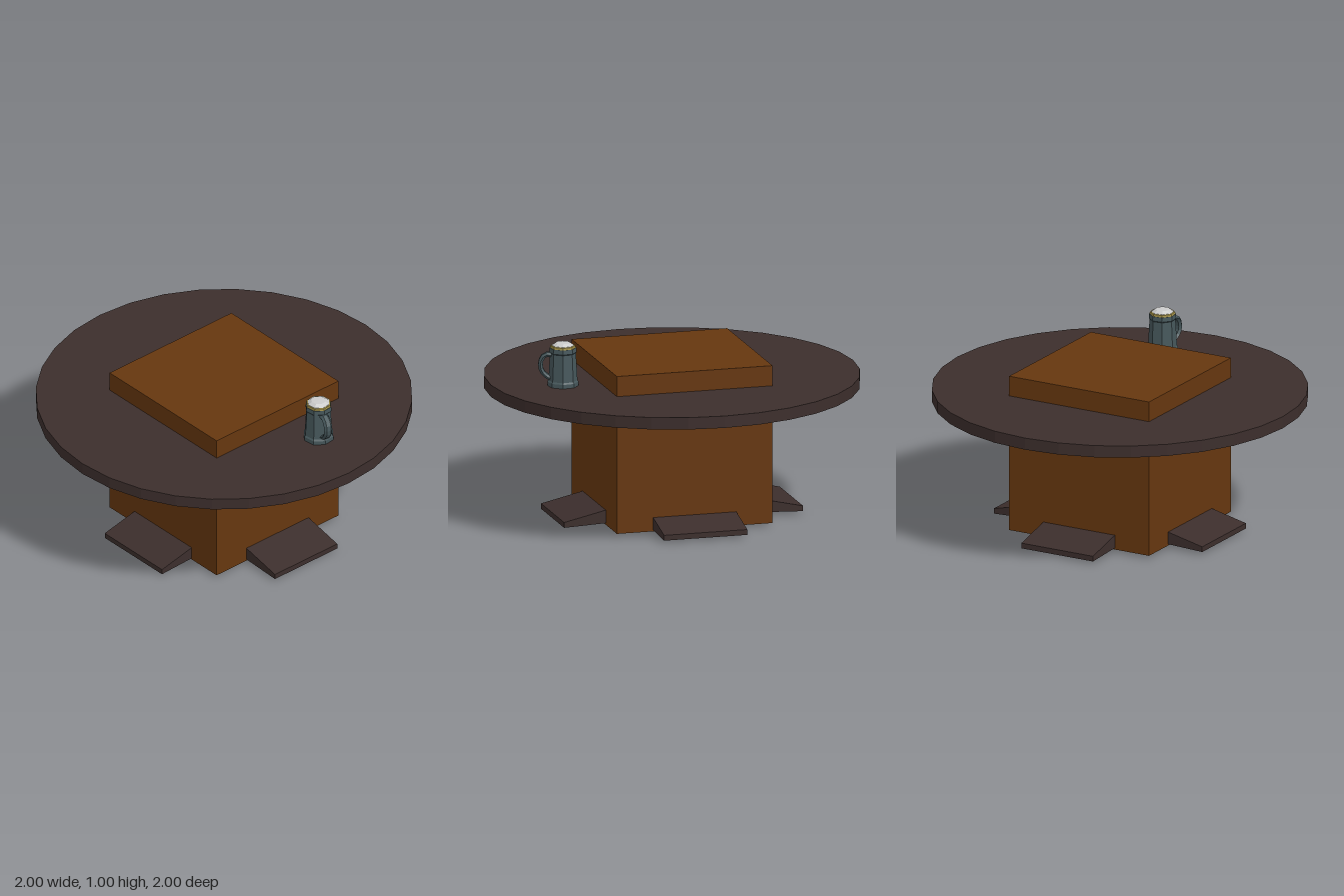
import * as THREE from 'three';

const mat = (color) => new THREE.MeshStandardMaterial({ color, flatShading: true });

export function createModel() {
  const root = new THREE.Group();
  const wood = mat(0x66370f);
  const darkWood = mat(0x3c2e2c);
  const pewter = mat(0x46575b);
  const foamMat = mat(0xcccccc);
  const gold = mat(0xa8954a);
  const iron = mat(0x262523);
  const green = mat(0x1b2a1e);
  const steel = mat(0x55595a);

  const add = (parent, name, geometry, material, x = 0, y = 0, z = 0) => {
    const m = new THREE.Mesh(geometry, material);
    m.name = name;
    m.position.set(x, y, z);
    parent.add(m);
    return m;
  };
  const lathe = (pts, sides) =>
    new THREE.LatheGeometry(pts.map(([r, y]) => new THREE.Vector2(r, y)), sides);

  // Square pedestal passing through the round top
  add(root, 'pedestal', new THREE.BoxGeometry(0.86, 0.86, 0.86), wood, 0, 0.445, 0);
  add(root, 'tableTop', new THREE.CylinderGeometry(1, 1, 0.065, 32), darkWood, 0, 0.7325, 0);

  // Shallow boss under the top, below the mug
  add(root, 'undersideBoss',
    lathe([[0, 0], [0.12, 0.001], [0.24, 0.006], [0.34, 0.016]], 24),
    mat(0x30200f), 0.65, 0.686, -0.05);

  // Wedge-shaped feet, one on each side
  const wedge = new THREE.Shape([
    [0.4, 0.025], [0.66, 0.014], [0.66, 0.043], [0.43, 0.095], [0.4, 0.095],
  ].map(([x, y]) => new THREE.Vector2(x, y)));
  for (let i = 0; i < 4; i++) {
    const side = i % 2 === 0;
    const width = side ? 0.44 : 0.46;
    const geo = new THREE.ExtrudeGeometry(wedge, { depth: width, bevelEnabled: false });
    geo.translate(side ? 0 : -0.02, 0, -width / 2);
    add(root, 'foot', geo, darkWood).rotation.y = i * Math.PI / 2;
  }

  // Base plate with a thin ring and eight alternating tabs
  add(root, 'basePlate', new THREE.CylinderGeometry(0.3, 0.3, 0.012, 24), iron, 0, 0.01, 0);
  const ring = add(root, 'baseRing', new THREE.TorusGeometry(0.297, 0.004, 4, 32), steel, 0, 0.005, 0);
  ring.rotation.x = Math.PI / 2;
  for (let i = 0; i < 8; i++) {
    const a = i * Math.PI / 4;
    const diagonal = i % 2 === 1;
    const tab = add(root, 'baseTab', new THREE.BoxGeometry(0.09, 0.012, 0.09),
      diagonal ? green : steel, Math.cos(a) * 0.28, 0.008, Math.sin(a) * 0.28);
    tab.rotation.y = -a + (diagonal ? Math.PI / 4 : 0);
  }

  // Faceted mug, turned so its handle points along +x and a little forward
  const mug = new THREE.Group();
  mug.name = 'mug';
  mug.position.set(0.635, 0.765, -0.11);
  mug.rotation.y = -0.28;
  root.add(mug);

  add(mug, 'mugBody', lathe([
    [0, 0], [0.083, 0], [0.083, 0.022], [0.077, 0.03], [0.073, 0.105],
    [0.069, 0.178], [0.073, 0.183], [0.071, 0.207], [0.06, 0.207], [0.058, 0.19], [0, 0.19],
  ], 8), pewter);
  add(mug, 'mugRim', lathe([[0.055, 0.2], [0.069, 0.205], [0.067, 0.218], [0.05, 0.222]], 8), gold);
  add(mug, 'foam', lathe([[0.062, 0.205], [0.06, 0.221], [0.04, 0.234], [0, 0.236]], 8), foamMat);

  // Curved handle
  const path = new THREE.CatmullRomCurve3([
    [0.06, 0.17], [0.095, 0.168], [0.117, 0.135], [0.116, 0.09], [0.095, 0.06], [0.067, 0.042],
  ].map(([x, y]) => new THREE.Vector3(x, y, 0)));
  const handle = new THREE.TubeGeometry(path, 8, 0.014, 6);
  handle.scale(1, 1, 1.7);
  add(mug, 'mugHandle', handle, pewter);

  return root;
}
